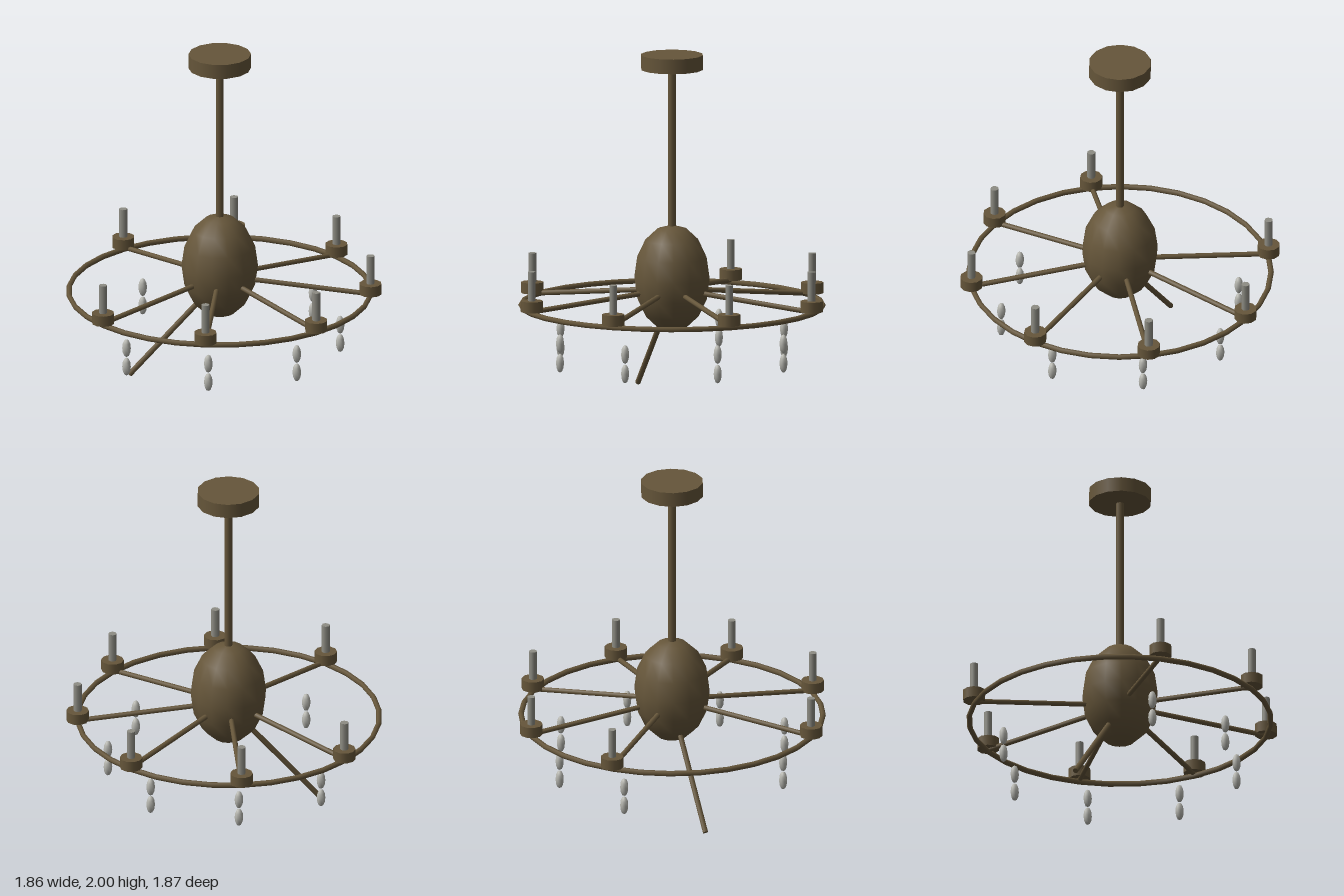
import * as THREE from 'three';

const mat = (name, color) => {
  const m = new THREE.MeshStandardMaterial({ color });
  m.name = name;
  return m;
};

export function createModel() {
  const bronze = mat('aged bronze', 0x66563a);
  const wax = mat('candle grey', 0x8e8d84);
  const crystal = mat('crystal grey', 0xb9b9b2);
  const model = new THREE.Group();
  model.name = 'chandelier';

  const add = (name, geometry, material, x, y, z, parent = model) => {
    const mesh = new THREE.Mesh(geometry, material);
    mesh.name = name;
    mesh.position.set(x, y, z);
    parent.add(mesh);
    return mesh;
  };

  // Straight round bar between two points
  const bar = (name, a, b, radius, parent) => {
    const dir = b.clone().sub(a);
    const mid = a.clone().add(b).multiplyScalar(0.5);
    const geo = new THREE.CylinderGeometry(radius, radius, dir.length(), 8);
    const mesh = add(name, geo, bronze, mid.x, mid.y, mid.z, parent);
    mesh.quaternion.setFromUnitVectors(new THREE.Vector3(0, 1, 0), dir.normalize());
    return mesh;
  };

  // Ceiling canopy, hanging rod and egg-shaped body
  add('canopy', new THREE.CylinderGeometry(0.18, 0.18, 0.085, 14), bronze, 0, 1.9575, 0);
  add('rod', new THREE.CylinderGeometry(0.023, 0.023, 0.96, 10), bronze, 0, 1.45, 0);
  const body = add('body', new THREE.SphereGeometry(0.22, 14, 8), bronze, 0, 0.7, 0);
  body.scale.y = 0.31 / 0.22;
  body.rotation.y = Math.PI / 2;

  // Outer hoop
  const ring = add('ring', new THREE.TorusGeometry(0.868, 0.016, 6, 32), bronze, 0, 0.542, 0);
  ring.rotation.x = Math.PI / 2;

  const cupGeo = new THREE.CylinderGeometry(0.065, 0.065, 0.063, 10);
  const candleGeo = new THREE.CylinderGeometry(0.024, 0.024, 0.17, 8);
  const dropGeo = new THREE.SphereGeometry(0.025, 8, 6).scale(1, 2.2, 1);

  // Eight arms; the one at the back right has come loose and hangs down
  for (let i = 0; i < 8; i++) {
    const angle = i * Math.PI / 4;
    const at = (r, y) => new THREE.Vector3(r * Math.cos(angle), y, r * Math.sin(angle));
    if (i === 5) {
      bar('looseArm', at(0.08, 0.52), at(0.52, 0.011), 0.016, model);
      continue;
    }
    const branch = new THREE.Group();
    branch.name = 'branch' + (i + 1);
    model.add(branch);
    bar('arm', at(0.19, 0.62), at(0.87, 0.555), 0.015, branch);
    const tip = at(0.87, 0);
    add('cup', cupGeo, bronze, tip.x, 0.589, tip.z, branch);
    add('candle', candleGeo, wax, tip.x, 0.705, tip.z, branch);
    const hang = at(0.695, 0);
    for (const y of [0.36, 0.247]) add('crystalDrop', dropGeo, crystal, hang.x, y, hang.z, branch);
  }
  return model;
}
